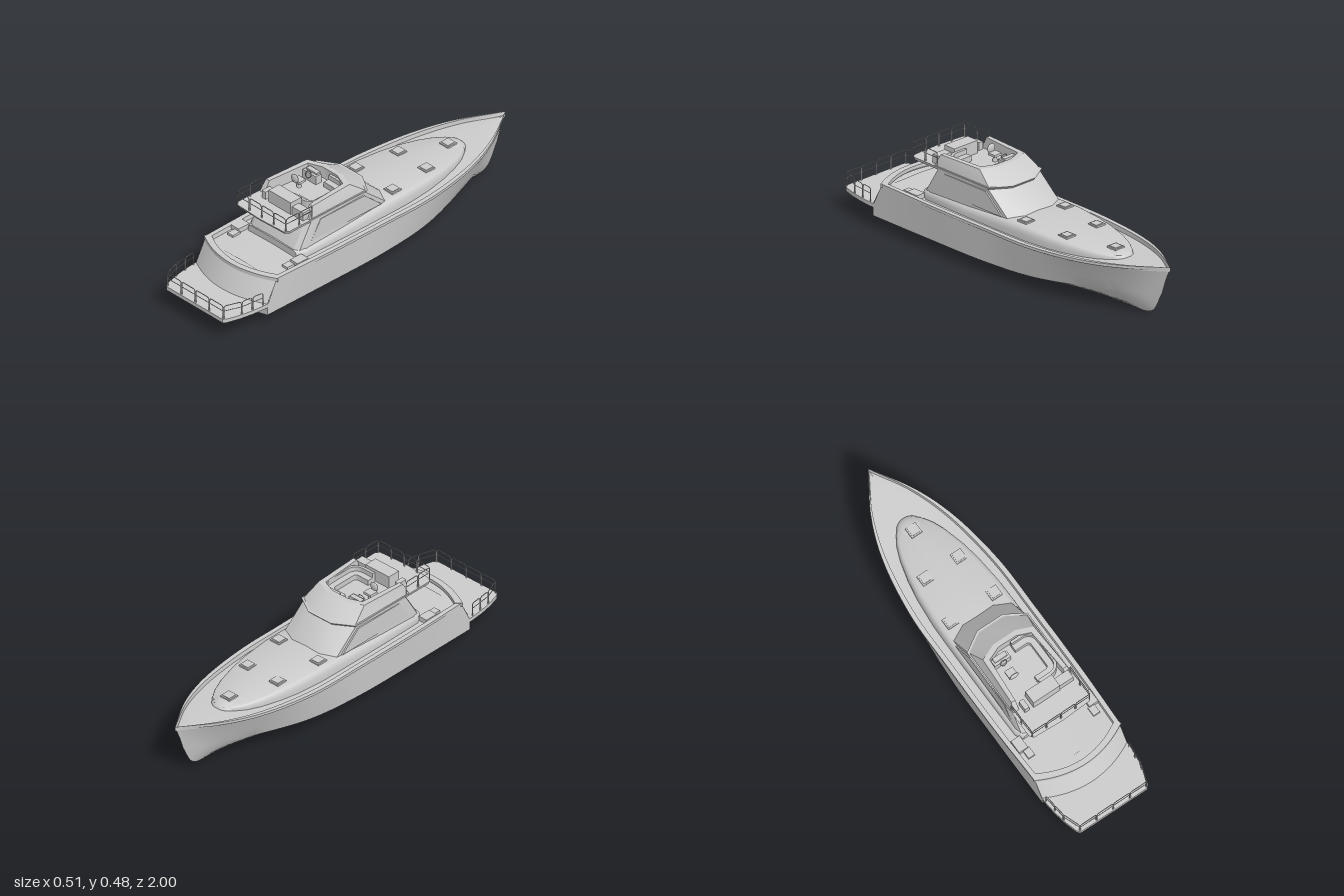
import * as THREE from 'three';
import { toCreasedNormals } from 'three/addons/utils/BufferGeometryUtils.js';

const grey = new THREE.MeshStandardMaterial({ color: 0xcccccc, side: THREE.DoubleSide });
const V = (x, y, z) => new THREE.Vector3(x, y, z);

export function createModel() {
  const model = new THREE.Group();

  const add = (name, geo, x = 0, y = 0, z = 0, parent = model) => {
    const m = new THREE.Mesh(geo, grey);
    m.name = name;
    m.position.set(x, y, z);
    parent.add(m);
    return m;
  };
  const box = (name, w, h, d, x, y, z) => add(name, new THREE.BoxGeometry(w, h, d), x, y, z);

  // Skin between rows of points
  const loft = (rows, crease = 0.45) => {
    const n = rows[0].length, idx = [];
    for (let i = 0; i < rows.length - 1; i++) for (let j = 0; j < n - 1; j++) {
      const a = i * n + j, b = a + n;
      idx.push(a, b, b + 1, a, b + 1, a + 1);
    }
    const g = new THREE.BufferGeometry().setFromPoints(rows.flat());
    g.setIndex(idx);
    g.computeVertexNormals();
    return toCreasedNormals(g, crease);
  };
  const flip = (pts) => pts.map((p) => V(-p.x, p.y, p.z));
  // Rows from the left side to the centre line, continued on the right side
  const mirrorRows = (rows) => [...rows, ...rows.slice(0, -1).reverse().map(flip)];
  // Closed ring from a left half listed front to back
  const ring = (half, y) => {
    const a = half.map(([x, z]) => V(x, y, z));
    const r = [...a, ...flip(a).reverse()];
    return [...r, r[0]];
  };
  const lid = (r, z) => r.map((p) => V(0, p.y, z));
  // Flat slab from an [x, z] outline
  const slab = (pts, y, h) => {
    const s = new THREE.Shape(pts.map(([x, z]) => new THREE.Vector2(x, -z)));
    const g = new THREE.ExtrudeGeometry(s, { depth: h, bevelEnabled: false });
    return toCreasedNormals(g.rotateX(-Math.PI / 2).translate(0, y, 0), 0.45);
  };
  const mirrorOutline = (half) => [...half, ...half.map(([x, z]) => [-x, z]).reverse()];
  const arc = (z, w, d) => Array.from({ length: 25 }, (_, i) => {
    const s = i / 12 - 1;
    return [w * s, z + d * (1 - s * s)];
  });

  // Hull from four lengthwise lines
  const line = (pts) => new THREE.CatmullRomCurve3(pts.map((p) => V(...p))).getPoints(60);
  const sheer = line([[.242, .235, .7], [.25, .235, .4], [.25, .235, 0], [.245, .236, -.3],
    [.196, .246, -.6], [.122, .258, -.8], [0, .272, -1]]);
  const mid = line([[.242, .11, .76], [.245, .115, .4], [.243, .12, 0], [.225, .13, -.3],
    [.155, .15, -.6], [.08, .175, -.8], [0, .2, -.968]]);
  const chine = line([[.242, .058, .76], [.242, .058, .4], [.238, .06, 0], [.21, .068, -.3],
    [.13, .09, -.6], [.06, .11, -.8], [0, .13, -.945]]);
  const keel = line([[0, 0, .76], [0, 0, .4], [0, 0, 0], [0, 0, -.35],
    [0, 0, -.72], [0, .018, -.875], [0, .13, -.945]]);
  add('hull', loft(mirrorRows([sheer, mid, chine, keel])));

  // Gunwale cap and cambered deck
  const edge = (k, dy) => sheer.map((p) => V(p.x * k, p.y + dy, p.z));
  add('gunwaleAndDeck', loft(mirrorRows([edge(1, -.012), edge(1.015, -.01), edge(1.015, .004),
    edge(.92, .004), edge(.91, -.018), edge(0, -.012)]).reverse()));

  // Stern: flat lower transom, curved sloping upper transom, rail cap, cockpit floor
  const low = new THREE.Shape([[0, 0], [.242, .058], [.242, .11], [-.242, .11], [-.242, .058]]
    .map((p) => new THREE.Vector2(...p)));
  add('lowerTransom', new THREE.ShapeGeometry(low), 0, 0, .76);
  add('upperTransom', loft([[.7, .232], [.765, .11]]
    .map(([z, y]) => arc(z, .242, .065).map((p) => V(p[0], y, p[1])))));
  add('sternCap', slab([...arc(.7, .252, .072), ...arc(.675, .225, .068).reverse()], .222, .018));
  add('cockpitFloor', slab(arc(.68, .238, .07), .2, .016));
  add('swimPlatform', slab(mirrorOutline([[.242, .7], [.242, .78], [.235, .85], [.222, .92],
    [.203, .985], [.19, 1]]), .1, .02));

  // Low rounded trunk cabin: [z, half width, top height]
  const stations = [[.5, 0, .255], [.5, .165, .255], [.46, .187, .262], [.2, .19, .268],
    [-.08, .19, .284], [-.2, .188, .286], [-.35, .175, .281], [-.45, .158, .276], [-.55, .132, .268],
    [-.62, .104, .261], [-.67, .072, .256], [-.7, .035, .252], [-.71, 0, .24]];
  const section = [[1, 0], [1, .5], [.975, .75], [.93, .9], [.85, .97], [0, 1.03]];
  add('trunkCabin', loft(mirrorRows(section.map(([kx, ky]) =>
    stations.map(([z, w, h]) => V(w * kx, .21 + (h - .21) * ky, z)))).reverse(), 0.7));

  // Foredeck hatches
  const dome = add('hatchDome', new THREE.SphereGeometry(.072, 32, 12, 0, Math.PI * 2, 0, Math.PI / 2), 0, .235, -.645);
  dome.scale.y = .42;
  for (const [x, y, z] of [[0, .266, -.63], [.095, .28, -.4], [-.095, .28, -.4],
    [.125, .287, -.155], [-.125, .287, -.155]]) {
    box('hatchFrame', .058, .008, .058, x, y, z);
    box('hatchLid', .044, .006, .044, x, y + .004, z);
  }

  // Deckhouse with sloping windshield and rear wall
  add('deckhouse', loft([
    ring([[.09, -.145], [.165, -.105], [.175, .45], [.165, .482], [.14, .498]], .25),
    ring([[.075, .005], [.165, .058], [.172, .37], [.163, .4], [.14, .412]], .388)]));
  // Side window panels
  const pane = new THREE.Shape([[-.04, .282], [.07, .378], [.352, .378], [.412, .282]]
    .map(([z, y]) => new THREE.Vector2(-z, y)));
  for (const s of [1, -1]) {
    const p = add('sideWindow', new THREE.ExtrudeGeometry(pane, { depth: .008, bevelEnabled: false }),
      s * .17 - .004, 0, 0);
    p.rotation.y = Math.PI / 2;
  }

  // Flybridge floor, its edge leaning outward
  const floorLow = ring([[.07, .002], [.166, .062], [.17, .55], [.155, .568], [0, .574]], .385);
  const floorTop = ring([[.072, -.012], [.173, .05], [.174, .555], [.16, .575], [0, .583]], .4);
  add('flybridgeFloor', loft([lid(floorLow, .3), floorLow, floorTop, lid(floorTop, .3)]));

  // Flybridge coaming, open at the back
  const path = (half, y) => {
    const a = half.map(([x, z]) => V(x, y, z));
    return [...flip(a).reverse(), ...a];
  };
  const wall = [path([[.07, .0], [.165, .058], [.168, .42]], .4),
    path([[.062, .105], [.145, .14], [.158, .39]], .46),
    path([[.05, .13], [.118, .158], [.136, .39]], .46),
    path([[.05, .13], [.118, .158], [.136, .42]], .4)];
  add('coaming', loft(wall));
  for (const j of [0, 5])
    add('coamingEnd', loft([[wall[0][j], wall[3][j]], [wall[1][j], wall[2][j]]]));

  // Curved settee: seat and taller back
  const settee = (t) => {
    const r = (o, rad) => {
      const c = [];
      for (const [cx, cz, a0] of [[.136 - rad, .135 + rad, -90], [.136 - rad, .38 - rad, 0]])
        for (let i = 0; i <= 6; i++) {
          const a = (a0 + i * 15) * Math.PI / 180;
          c.push([cx + Math.cos(a) * (rad - o), cz + Math.sin(a) * (rad - o)]);
        }
      return [[.012, .135 + o], ...c, [.012, .38 - o]];
    };
    return [...r(0, .06), ...r(t, .06).reverse()];
  };
  add('setteeSeat', slab(settee(.045), .4, .028));
  add('setteeBack', slab(settee(.014), .4, .052));

  // Helm: console, wheel and chair
  box('helmConsole', .09, .045, .035, -.07, .422, .178);
  box('helmPanel', .07, .012, .025, -.07, .447, .17);
  const wheel = add('steeringWheel', new THREE.TorusGeometry(.017, .002, 8, 24), -.07, .44, .202);
  wheel.rotation.x = -.4;
  add('chairPedestal', new THREE.CylinderGeometry(.008, .012, .03, 16), -.07, .415, .262);
  box('chairSeat', .046, .012, .045, -.07, .435, .262);
  const back = add('chairBack', new THREE.CylinderGeometry(.024, .024, .012, 24, 1, false, 0, Math.PI), -.07, .457, .288);
  back.rotation.set(Math.PI / 2, Math.PI / 2, 0, 'YXZ');
  back.rotation.set(-Math.PI / 2, 0, 0);
  back.geometry.rotateY(-Math.PI / 2).scale(1, 1, -1);
  back.geometry = new THREE.SphereGeometry(.024, 24, 12);
  back.scale.set(1, .35, .95);

  // Flybridge lockers
  box('centreLocker', .15, .066, .068, 0, .432, .418);
  box('sideLocker', .075, .045, .045, .117, .422, .425);
  box('stairCover', .025, .04, .05, -.11, .42, .425);

  // Cockpit steps either side of the house
  for (const s of [1, -1]) {
    box('upperStep', .05, .034, .07, s * .2, .225, .515);
    box('lowerStep', .036, .02, .05, s * .185, .22, .57);
  }

  // Railings: rounded hoops with a middle bar
  const railing = (name, points, counts, h) => {
    const group = new THREE.Group();
    group.name = name;
    const r = .014;
    points.slice(0, -1).forEach((p, k) => {
      const a = V(...p), b = V(...points[k + 1]), n = counts[k];
      const dir = b.clone().sub(a).normalize();
      const step = a.distanceTo(b) / n;
      for (let i = 0; i < n; i++) {
        const at = (d, y) => a.clone().addScaledVector(dir, i * step + d).add(V(0, y, 0));
        const l = .0025, e = step - .0025;
        const hoop = new THREE.CurvePath();
        hoop.add(new THREE.LineCurve3(at(l, 0), at(l, h - r)));
        hoop.add(new THREE.QuadraticBezierCurve3(at(l, h - r), at(l, h), at(l + r, h)));
        hoop.add(new THREE.LineCurve3(at(l + r, h), at(e - r, h)));
        hoop.add(new THREE.QuadraticBezierCurve3(at(e - r, h), at(e, h), at(e, h - r)));
        hoop.add(new THREE.LineCurve3(at(e, h - r), at(e, 0)));
        add('hoop', new THREE.TubeGeometry(hoop, 48, .0022, 6), 0, 0, 0, group);
        const bar = new THREE.LineCurve3(at(l, h * .6), at(e, h * .6));
        add('middleBar', new THREE.TubeGeometry(bar, 1, .0018, 6), 0, 0, 0, group);
      }
    });
    model.add(group);
  };
  railing('platformRailing', [[.236, .12, .78], [.222, .12, .905], [.19, .12, .993],
    [-.19, .12, .993], [-.222, .12, .905], [-.236, .12, .78]], [2, 1, 4, 1, 2], .07);
  railing('flybridgeRailing', [[.168, .4, .4], [.165, .4, .568], [-.165, .4, .568],
    [-.168, .4, .4]], [2, 4, 2], .07);

  return model;
}
